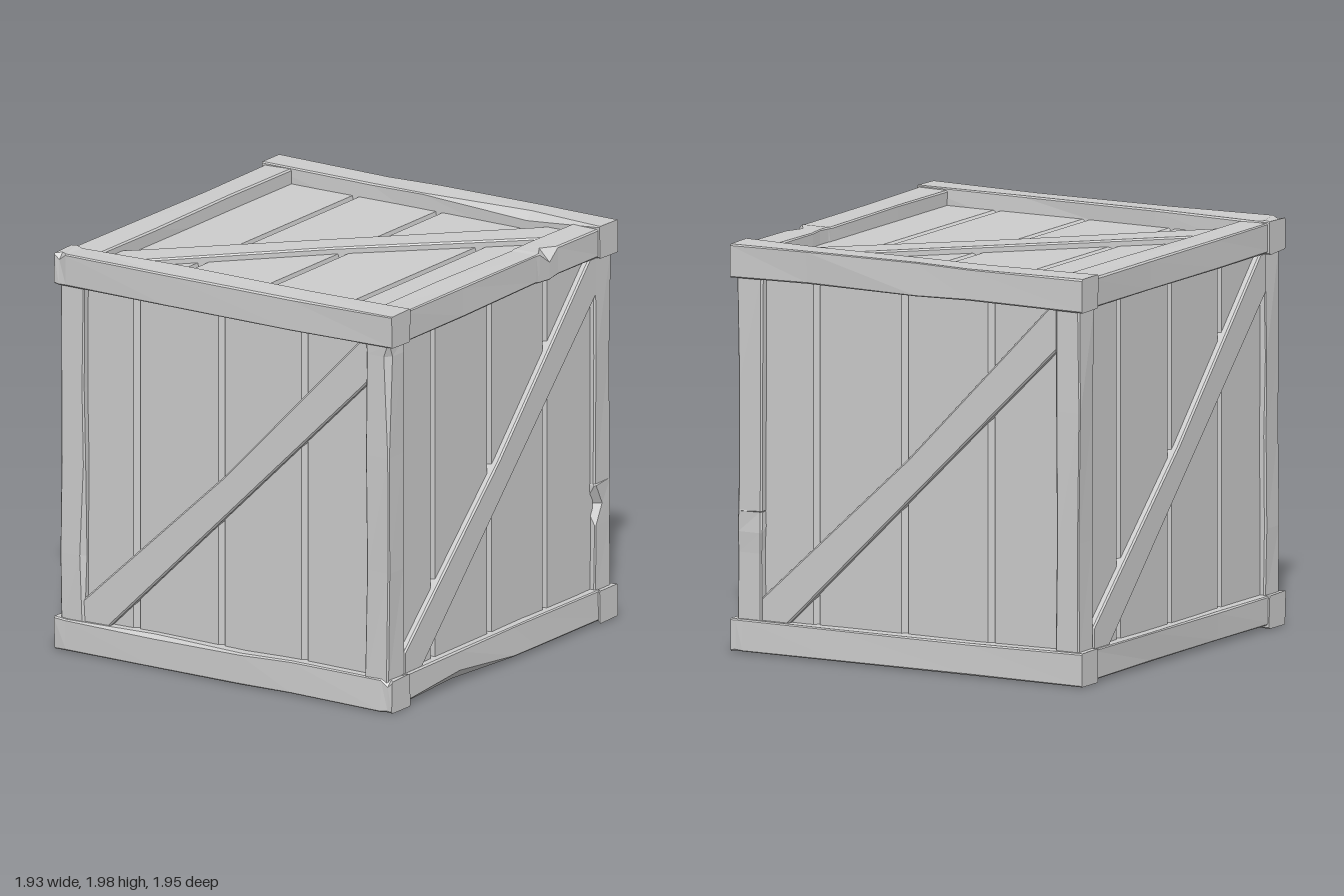
import * as THREE from 'three';

const wood = new THREE.MeshStandardMaterial({ color: 0xcccccc, flatShading: true });
wood.name = 'wood';

let seed = 7;
const rand = () => {
  seed = (seed * 16807) % 2147483647;
  return seed / 2147483647 - 0.5;
};

// Corners of a beam's section, counter-clockwise
const CORNERS = [[1, 1], [-1, 1], [-1, -1], [1, -1]];

// Hewn beam along an axis (0 x, 1 y, 2 z); u and v are the next two axes.
// A chip is [position, corner, size, half length] and widens one edge's bevel.
function beam(name, axis, half, centre, hu, hv, chips = []) {
  const u = (axis + 1) % 3, v = (axis + 2) % 3;
  const inChip = (s) => chips.some(([p, , , w]) => Math.abs(s - p) < w);
  const stops = [-half * 0.35, half * 0.4].filter((s) => !inChip(s));
  stops.push(-half, half);
  for (const [p, , , w] of chips) stops.push(p - w, p, p + w);
  const rings = [...new Set(stops.filter((s) => Math.abs(s) <= half))].sort((a, b) => a - b);
  const pos = [], index = [];
  rings.forEach((s) => {
    CORNERS.forEach(([su, sv], k) => {
      let c = 0.004 + (rand() + 0.5) * 0.005;
      for (const [p, corner, size] of chips) if (corner === k && p === s) c = size;
      const cu = su * (hu + rand() * 0.01), cv = sv * (hv + rand() * 0.01);
      const pair = [[cu, cv - sv * c], [cu - su * c, cv]];
      if (su * sv < 0) pair.reverse();
      for (const [a, b] of pair) {
        const q = [...centre];
        q[axis] += s;
        q[u] += a;
        q[v] += b;
        pos.push(...q);
      }
    });
  });
  const last = (rings.length - 1) * 8;
  for (let i = 0; i < last; i += 8) {
    for (let j = 0; j < 8; j++) {
      const a = i + j, b = i + ((j + 1) % 8);
      index.push(a, b, b + 8, a, b + 8, a + 8);
    }
  }
  for (let j = 1; j < 7; j++) index.push(0, j + 1, j, last, last + j, last + j + 1);
  const geo = new THREE.BufferGeometry();
  geo.setAttribute('position', new THREE.Float32BufferAttribute(pos, 3));
  geo.setIndex(index);
  const flat = geo.toNonIndexed();
  flat.computeVertexNormals();
  const mesh = new THREE.Mesh(flat, wood);
  mesh.name = name;
  return mesh;
}

// Four planks whose right edges slope into the grooves between them
function plankPanel() {
  const s = new THREE.Shape();
  s.moveTo(-0.84, 0.8);
  s.lineTo(0.84, 0.8);
  s.lineTo(0.84, 0.91);
  for (const x of [0.45, -0.025, -0.51]) {
    s.lineTo(x, 0.91);
    s.lineTo(x - 0.004, 0.886);
    s.lineTo(x - 0.038, 0.91);
  }
  s.lineTo(-0.84, 0.91);
  const geo = new THREE.ExtrudeGeometry(s, { depth: 1.68, bevelEnabled: false });
  return geo.rotateX(Math.PI / 2).translate(0, 0.84, 0);
}

// Diagonal board cut to fit the frame's corners
function diagonalBrace() {
  const s = new THREE.Shape([
    [-0.82, -0.72], [-0.82, -0.84], [-0.68, -0.84], [0.02, -0.15],
    [0.83, 0.65], [0.83, 0.84], [0.77, 0.84], [-0.01, 0.03],
  ].map(([x, y]) => new THREE.Vector2(x, y)));
  const geo = new THREE.ExtrudeGeometry(s, {
    depth: 0.05, bevelThickness: 0.008, bevelSize: 0.008, bevelOffset: -0.008, bevelSegments: 1,
  });
  return geo.translate(0, 0, 0.884);
}

export function createModel() {
  const crate = new THREE.Group();
  crate.name = 'crate';

  // Six faces, each a plank panel with a brace; the top is turned half round
  const panel = plankPanel(), brace = diagonalBrace(), q = Math.PI / 2;
  const faces = {
    front: [0, 0, 0], left: [0, q, 0], back: [0, 2 * q, 0], right: [0, -q, 0],
    top: [-q, 0, 2 * q], bottom: [q, 0, 0],
  };
  for (const [name, angles] of Object.entries(faces)) {
    const face = new THREE.Group();
    face.name = name + 'Face';
    const planks = new THREE.Mesh(panel, wood);
    planks.name = name + 'Planks';
    const board = new THREE.Mesh(brace, wood);
    board.name = name + 'Brace';
    face.add(planks, board);
    face.rotation.set(...angles);
    face.position.y = 1;
    crate.add(face);
  }

  // Worn edges
  const chips = {
    'crossBeam 1 -1': [[0.55, 0, 0.04, 0.6]],
    'crossBeam 1 1': [[-0.94, 0, 0.03, 0.04]],
    'crossBeam -1 1': [[0.94, 0, 0.03, 0.04], [-0.4, 0, 0.02, 0.5]],
    'crossBeam -1 -1': [[0.94, 1, 0.035, 0.04]],
    'sideBeam 1 1': [[-0.4, 0, 0.06, 0.08]],
    'sideBeam 1 -1': [[0.36, 3, 0.05, 0.46]],
    'post 1 -1': [[-0.4, 0, 0.06, 0.1]],
    'post -1 1': [[-0.5, 0, 0.025, 0.45]],
    'post 1 1': [[0.78, 0, 0.03, 0.5]],
  };

  // Frame: long cross beams, side beams between them, and corner posts
  for (const a of [-1, 1]) {
    for (const b of [-1, 1]) {
      const y = a > 0 ? 1.911 : 0.1;
      const z = b > 0 ? 0.888 : -0.897;
      crate.add(beam('crossBeam', 0, 0.966, [0, y, z], 0.079, 0.077, chips[`crossBeam ${a} ${b}`]));
      crate.add(beam('sideBeam', 2, 0.84, [b * 0.878, a > 0 ? 1.908 : 0.107, 0], 0.077, 0.073, chips[`sideBeam ${b} ${a}`]));
      crate.add(beam('post', 1, 0.84, [a * 0.873, 1, b * 0.885], 0.067, 0.066, chips[`post ${a} ${b}`]));
    }
  }
  return crate;
}
